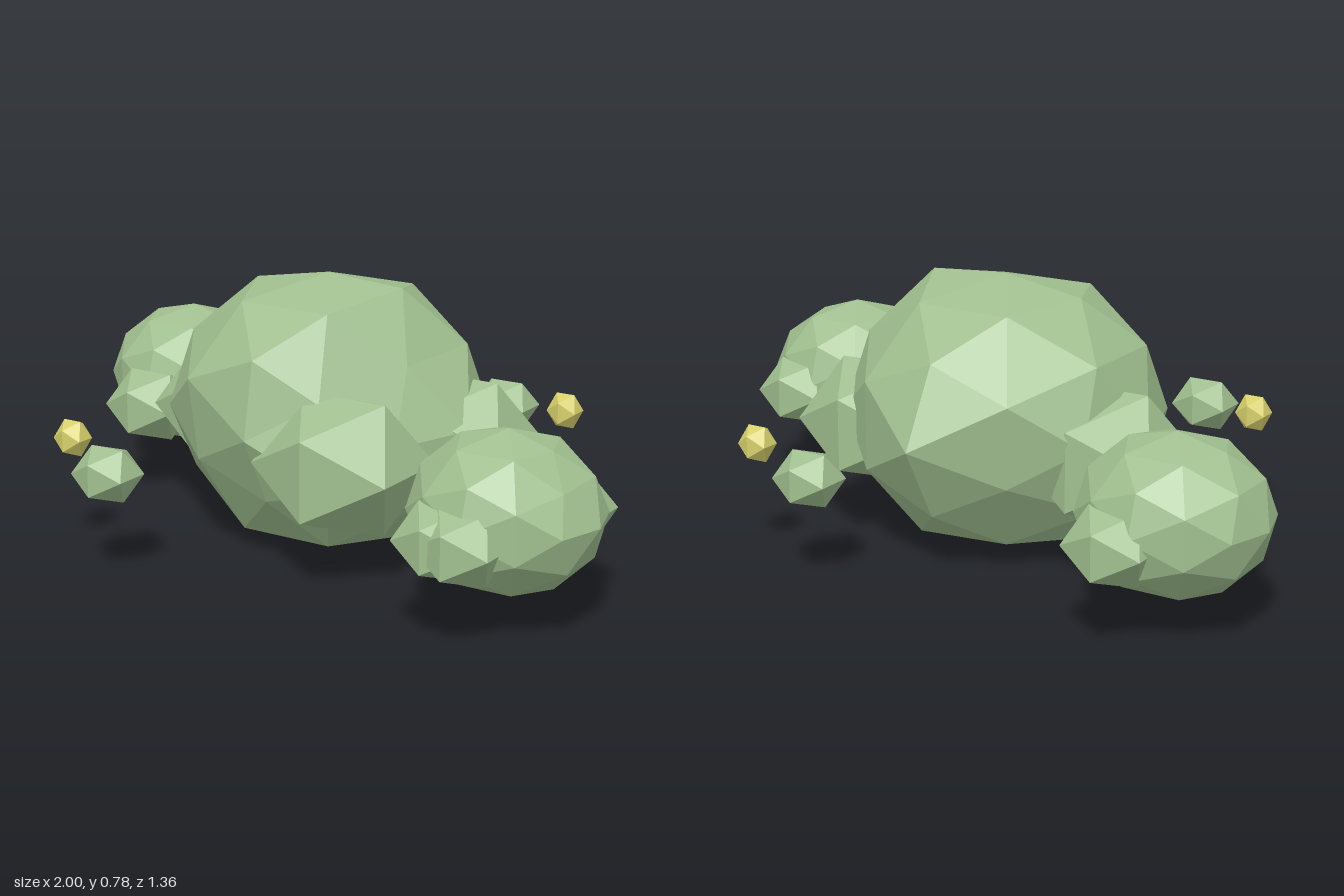
import * as THREE from 'three';

const leaf = new THREE.MeshStandardMaterial({ color: 0xa0bf8f });
leaf.name = 'leaf green';
const bloom = new THREE.MeshStandardMaterial({ color: 0xd6d06c });
bloom.name = 'blossom yellow';

// Faceted clump: unit icosahedron, optionally reshaped, then scaled and placed
function clump(name, material, detail, pos, size, reshape) {
  const geo = new THREE.IcosahedronGeometry(1, detail);
  if (reshape) {
    const p = geo.attributes.position;
    const v = new THREE.Vector3();
    for (let i = 0; i < p.count; i++) {
      reshape(v.fromBufferAttribute(p, i));
      p.setXYZ(i, v.x, v.y, v.z);
    }
  }
  geo.scale(...size);
  geo.deleteAttribute('normal');
  geo.computeVertexNormals(); // unindexed, so every facet is flat
  const mesh = new THREE.Mesh(geo, material);
  mesh.name = name;
  mesh.position.set(...pos);
  return mesh;
}

// Rule that presses corners lying beyond a plane back onto it
function flatten(normal, limit) {
  const n = new THREE.Vector3(...normal).normalize();
  return (v) => v.addScaledVector(n, -Math.max(0, v.dot(n) - limit));
}

export function createModel() {
  const group = new THREE.Group();
  group.name = 'bush';

  // Main crown: blunt poles, three pressed sides, pointed at the back
  const presses = [
    flatten([0.74, 0.34, 0.58], 0.78), // front left
    flatten([-0.2, -0.45, 0.87], 0.86), // lower front
    flatten([-0.5, -0.55, -0.67], 0.89), // lower back right
  ];
  group.add(clump('mainCrown', leaf, 1, [-0.02, 0.39, -0.02], [0.46, 0.41, 0.445], (v) => {
    if (Math.abs(v.y) > 0.99) v.y *= 0.95;
    else if (v.z > 0.99) v.z *= 0.945;
    else if (v.z < -0.99) v.z *= 1.12;
    else if (v.y > 0.84 && v.x > 0.5) v.y *= 1.07;
    else presses.forEach((press) => press(v));
  }));

  // Side crowns
  group.add(clump('leftCrown', leaf, 1, [0.735, 0.31, 0.305], [0.265, 0.22, 0.25],
    flatten([0.75, 0.62, 0.1], 0.88)));
  group.add(clump('rightCrown', leaf, 1, [-0.735, 0.31, -0.345], [0.265, 0.22, 0.25]));

  // Lesser clumps: name, material, height ratio, list of position and radius
  const sets = [
    ['mediumClump', leaf, 0.86, [
      [[0.205, 0.33, 0.255], 0.25],
      [[0.335, 0.33, -0.145], 0.23],
      [[-0.37, 0.33, -0.07], 0.25],
    ]],
    ['smallClump', leaf, 0.86, [
      [[0.655, 0.27, 0.5], 0.13],
      [[0.72, 0.27, 0.51], 0.13],
      [[0.81, 0.275, 0.105], 0.13],
      [[-0.71, 0.27, -0.085], 0.14],
      [[-0.665, 0.27, -0.54], 0.135],
      [[-0.54, 0.26, -0.25], 0.13],
    ]],
    ['sprig', leaf, 0.86, [
      [[0.245, 0.295, -0.595], 0.1],
      [[-0.34, 0.295, 0.59], 0.1],
    ]],
    ['blossom', bloom, 1.1, [
      [[0.48, 0.332, -0.52], 0.054],
      [[-0.555, 0.332, 0.475], 0.054],
    ]],
  ];
  for (const [name, material, ratio, list] of sets) {
    list.forEach(([pos, r], i) => {
      group.add(clump(name + (i + 1), material, 0, pos, [r, r * ratio, r]));
    });
  }
  return group;
}
